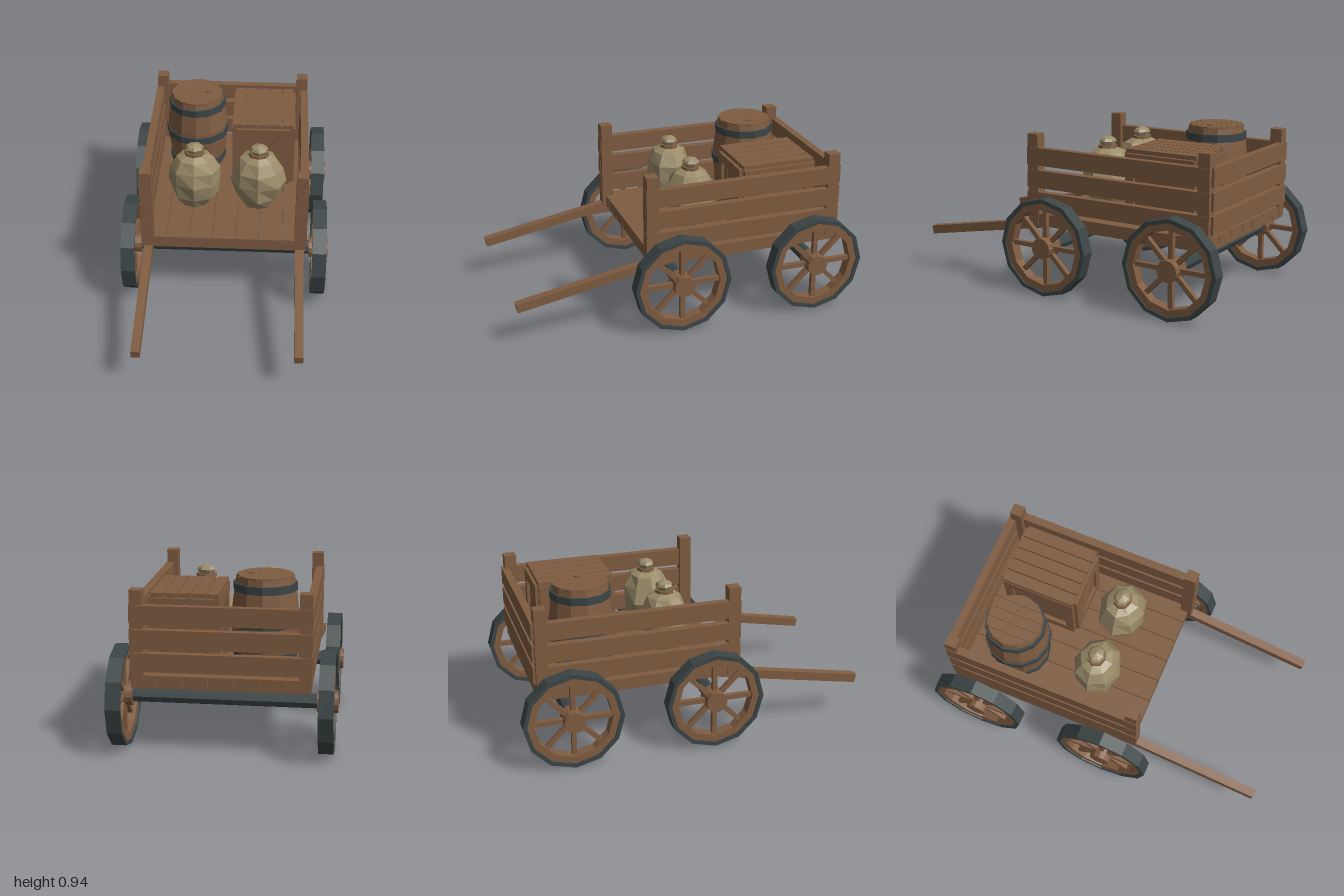
import * as THREE from 'three';

const mat = (name, color) => {
  const m = new THREE.MeshStandardMaterial({ color });
  m.name = name;
  return m;
};

export function createModel() {
  const wood = mat('wood', 0x7f5c41);
  const iron = mat('iron', 0x3c4546);
  const cloth = mat('sackcloth', 0x9a8b69);
  const cart = new THREE.Group();
  cart.name = 'cart';

  // faceted normals for a low-poly look
  const flat = (g) => {
    const f = g.index ? g.toNonIndexed() : g;
    f.computeVertexNormals();
    return f;
  };
  const add = (parent, name, geo, material, x = 0, y = 0, z = 0) => {
    const m = new THREE.Mesh(geo, material);
    m.name = name;
    m.position.set(x, y, z);
    parent.add(m);
    return m;
  };
  // box given by its limits on each axis
  const box = (parent, name, x0, x1, y0, y1, z0, z1, material = wood) =>
    add(parent, name, new THREE.BoxGeometry(x1 - x0, y1 - y0, z1 - z0), material,
      (x0 + x1) / 2, (y0 + y1) / 2, (z0 + z1) / 2);
  const lathe = (pts, sides) =>
    flat(new THREE.LatheGeometry(pts.map(([r, y]) => new THREE.Vector2(r, y)), sides));
  const ring = (inner, outer, h, sides = 12) =>
    lathe([[inner, -h], [outer, -h], [outer, h], [inner, h], [inner, -h]], sides);
  const group = (name, parent = cart) => {
    const g = new THREE.Group();
    g.name = name;
    parent.add(g);
    return g;
  };

  // bed planks
  const bed = group('bed');
  const pitch = 0.94 / 7;
  for (let i = 0; i < 7; i++) {
    const x = -0.47 + i * pitch;
    box(bed, 'bedPlank', x + 0.002, x + pitch - 0.002, 0.37, 0.44, -0.888, 0.235);
  }

  // corner posts, side boards, back boards and pulling shafts
  const rows = [[0.465, 0.565], [0.59, 0.69], [0.718, 0.818]];
  for (const s of [-1, 1]) {
    const side = group(s > 0 ? 'leftSide' : 'rightSide');
    for (const z of [0.225, -0.858]) {
      add(side, 'cornerPost', new THREE.BoxGeometry(0.066, 0.515, 0.068), wood, s * 0.438, 0.637, z);
    }
    for (const [a, b] of rows) {
      add(side, 'sideBoard', new THREE.BoxGeometry(0.045, b - a, 1.155), wood, s * 0.4525, (a + b) / 2, -0.316);
    }
    const shaft = add(side, 'shaft', new THREE.BoxGeometry(0.049, 0.05, 0.86), wood, s * 0.437, 0.309, 0.572);
    shaft.rotation.x = 0.184;
  }
  for (const [a, b] of rows) box(cart, 'backBoard', -0.452, 0.452, a, b, -0.908, -0.865);

  // axles and wheels
  for (const z of [0.083, -0.72]) {
    const axle = add(cart, 'axle', flat(new THREE.CylinderGeometry(0.041, 0.041, 1.02, 8)), iron, 0, 0.28, z);
    axle.rotation.z = Math.PI / 2;
    for (const s of [-1, 1]) {
      const wheel = group('wheel');
      wheel.position.set(s * 0.55, 0.28, z);
      wheel.rotation.z = -s * Math.PI / 2;
      add(wheel, 'tire', ring(0.257, 0.28, 0.04), iron);
      add(wheel, 'rim', ring(0.217, 0.259, 0.031), wood);
      add(wheel, 'hub', flat(new THREE.CylinderGeometry(0.06, 0.06, 0.112, 12)), wood);
      for (let i = 0; i < 8; i++) {
        const a = i * Math.PI / 4;
        const spoke = add(wheel, 'spoke', new THREE.BoxGeometry(0.19, 0.028, 0.026), wood,
          Math.cos(a) * 0.135, 0, -Math.sin(a) * 0.135);
        spoke.rotation.y = a;
      }
    }
  }

  // barrel with hoops, planked lid and bung
  const barrel = group('barrel');
  barrel.position.set(-0.202, 0, -0.58);
  add(barrel, 'staves', lathe([[0, 0.442], [0.152, 0.442], [0.168, 0.53], [0.181, 0.64], [0.181, 0.73],
    [0.168, 0.84], [0.155, 0.925], [0, 0.925]], 12), wood);
  for (const [y, r] of [[0.5, 0.172], [0.685, 0.19], [0.87, 0.172]]) {
    add(barrel, 'hoop', ring(r - 0.025, r, 0.021), iron, 0, y, 0);
  }
  for (let i = 0; i < 5; i++) {
    const R = 0.152;
    const a = -R + i * 0.0608 + 0.002;
    const b = a + 0.0568;
    const chord = (v) => Math.sqrt(Math.max(R * R - v * v, 0));
    const mid = (a + b) / 2;
    const shape = new THREE.Shape([[a, -chord(a)], [mid, -chord(mid)], [b, -chord(b)],
      [b, chord(b)], [mid, chord(mid)], [a, chord(a)]].map(([x, y]) => new THREE.Vector2(x, y)));
    const plank = add(barrel, 'lidPlank',
      new THREE.ExtrudeGeometry(shape, { depth: 0.012, bevelEnabled: false }), wood, 0, 0.92, 0);
    plank.rotation.x = -Math.PI / 2;
  }
  add(barrel, 'bung', flat(new THREE.CylinderGeometry(0.02, 0.02, 0.015, 8)), wood, 0.07, 0.931, 0);

  // crate: core, lid slats, face slats, framing and diagonal braces
  const crate = group('crate');
  box(crate, 'crateCore', 0.045, 0.375, 0.442, 0.835, -0.75, -0.355);
  for (let i = 0; i < 5; i++) {
    const x = 0.022 + i * 0.0732;
    box(crate, 'lidSlat', x + 0.003, x + 0.07, 0.832, 0.855, -0.768, -0.338);
  }
  for (const s of [-1, 1]) {
    const zc = -0.5525;
    const faceZ = zc + s * 0.205;
    for (let i = 0; i < 6; i++) {
      const x = 0.042 + i * 0.056;
      box(crate, 'faceSlat', x + 0.002, x + 0.054, 0.445, 0.832, faceZ - 0.009, faceZ + 0.009);
    }
    const frameZ = zc + s * 0.221;
    for (const [a, b] of [[0.45, 0.505], [0.775, 0.83]]) {
      box(crate, 'faceRail', 0.05, 0.37, a, b, frameZ - 0.011, frameZ + 0.011);
      const x = 0.21 + s * 0.177;
      box(crate, 'sideRail', x - 0.012, x + 0.012, a, b, -0.765, -0.34);
    }
    for (const x of [0.075, 0.345]) {
      box(crate, 'faceUpright', x - 0.025, x + 0.025, 0.505, 0.775, frameZ - 0.01, frameZ + 0.01);
    }
    for (const z of [-0.74, -0.365]) {
      const x = 0.21 + s * 0.176;
      box(crate, 'sideUpright', x - 0.011, x + 0.011, 0.505, 0.775, z - 0.025, z + 0.025);
    }
    const brace = add(crate, 'brace', new THREE.BoxGeometry(0.4, 0.045, 0.018), wood, 0.21, 0.64, frameZ);
    brace.rotation.z = s * 0.83;
  }

  // tied sacks, slightly lumpy
  const sackProfile = [[0, 0.447], [0.085, 0.468], [0.132, 0.54], [0.156, 0.635], [0.143, 0.72],
    [0.105, 0.785], [0.052, 0.81]];
  [-0.187, 0.187].forEach((x, k) => {
    const sack = group('sack');
    sack.position.set(x, 0, -0.095);
    sack.scale.z = 0.88;
    const body = new THREE.LatheGeometry(sackProfile.map(([r, y]) => new THREE.Vector2(r, y)), 8);
    const p = body.attributes.position;
    for (let i = 0; i < p.count; i++) {
      const px = p.getX(i), py = p.getY(i), pz = p.getZ(i);
      const f = 1 + 0.06 * Math.sin(px * 37 + py * 29 + pz * 23 + k * 2);
      p.setXYZ(i, px * f, py, pz * f);
    }
    add(sack, 'sackBody', flat(body), cloth);
    add(sack, 'sackTie', flat(new THREE.CylinderGeometry(0.058, 0.062, 0.026, 8)), wood, 0, 0.808, 0);
    add(sack, 'sackTop', lathe([[0.04, 0.815], [0.055, 0.845], [0.045, 0.86], [0, 0.876]], 7), cloth);
  });

  return cart;
}
